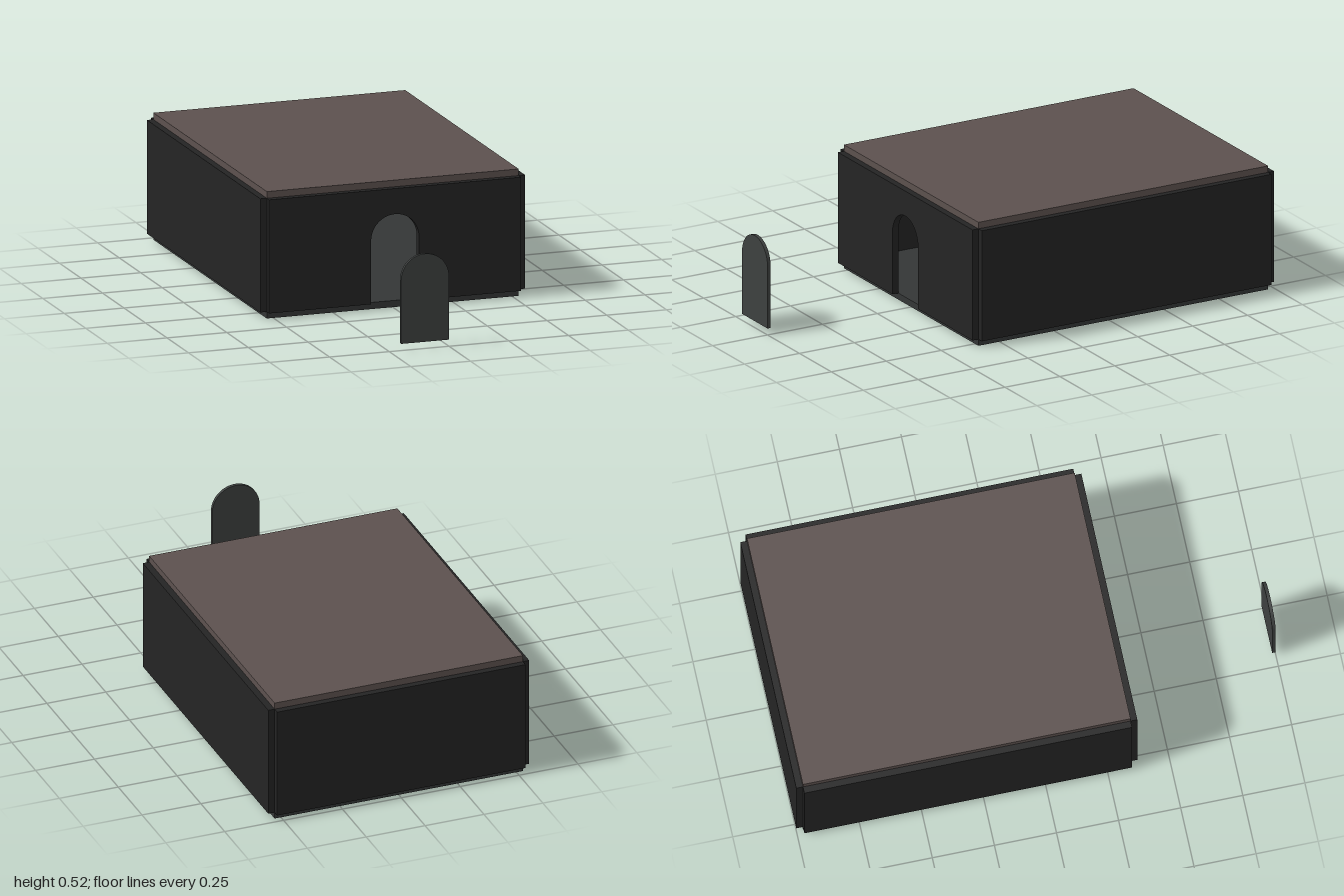
import * as THREE from 'three';

const T = 0.027;               // wall, floor and roof thickness
const HALF_W = 0.527;          // interior half width
const Z_BACK = -0.973, Z_FRONT = 0.346;
const Y0 = T, Y1 = 0.489;      // wall bottom and top
const DOOR_R = 0.1, DOOR_SPRING = 0.285;

const mat = (color) => new THREE.MeshStandardMaterial({ color });

// Adds a box given by its lower and upper corners
function addBox(group, name, min, max, material) {
  const size = max.map((v, i) => v - min[i]);
  const mesh = new THREE.Mesh(new THREE.BoxGeometry(...size), material);
  mesh.position.set(...max.map((v, i) => (v + min[i]) / 2));
  mesh.name = name;
  group.add(mesh);
}

// Round-topped doorway outline centred on cx
function traceArch(path, cx) {
  path.moveTo(cx - DOOR_R, Y0);
  path.lineTo(cx + DOOR_R, Y0);
  path.lineTo(cx + DOOR_R, DOOR_SPRING);
  path.absarc(cx, DOOR_SPRING, DOOR_R, 0, Math.PI, false);
  path.lineTo(cx - DOOR_R, Y0);
  return path;
}

function addExtrusion(group, name, shape, z, depth, material) {
  const geometry = new THREE.ExtrudeGeometry(shape, { depth, bevelEnabled: false, curveSegments: 24 });
  const mesh = new THREE.Mesh(geometry, material);
  mesh.position.z = z;
  mesh.name = name;
  group.add(mesh);
}

function rectangle(path, x0, y0, x1, y1) {
  path.moveTo(x0, y0);
  path.lineTo(x1, y0);
  path.lineTo(x1, y1);
  path.lineTo(x0, y1);
  path.closePath();
  return path;
}

export function createModel() {
  const group = new THREE.Group();
  const wall = mat(0x242424), roof = mat(0x5c514e), floor = mat(0x343636);
  const door = mat(0x3d403f), plaster = mat(0xb4b4b4), pane = mat(0xa0a49e);

  // Floor and roof slabs
  addBox(group, 'floor', [-HALF_W, 0, Z_BACK], [HALF_W, Y0, Z_FRONT], floor);
  addBox(group, 'roof', [-HALF_W, Y1, Z_BACK], [HALF_W, Y1 + T, Z_FRONT], roof);

  // Side and back walls, standing just outside the slabs
  for (const [name, s] of [['leftWall', 1], ['rightWall', -1]]) {
    const xs = [s * HALF_W, s * (HALF_W + T)].sort((a, b) => a - b);
    addBox(group, name, [xs[0], Y0, Z_BACK], [xs[1], Y1, Z_FRONT], wall);
  }
  addBox(group, 'backWall', [-HALF_W, Y0, Z_BACK - T], [HALF_W, Y1, Z_BACK], wall);

  // Front wall with the arched doorway cut up from its lower edge
  const front = new THREE.Shape();
  front.moveTo(-HALF_W, Y0);
  front.lineTo(-DOOR_R, Y0);
  front.lineTo(-DOOR_R, DOOR_SPRING);
  front.absarc(0, DOOR_SPRING, DOOR_R, Math.PI, 0, true);
  front.lineTo(DOOR_R, Y0);
  front.lineTo(HALF_W, Y0);
  front.lineTo(HALF_W, Y1);
  front.lineTo(-HALF_W, Y1);
  front.closePath();
  addExtrusion(group, 'frontWall', front, Z_FRONT, T, wall);

  // Pale lining on the inside of the back wall
  addBox(group, 'backLining', [-HALF_W, Y0, Z_BACK], [HALF_W, Y1, Z_BACK + 0.005], plaster);

  // Small framed panel on the lining
  const frame = rectangle(new THREE.Shape(), -0.058, 0.077, 0.058, 0.165);
  frame.holes.push(rectangle(new THREE.Path(), -0.046, 0.09, 0.046, 0.154));
  addExtrusion(group, 'panelFrame', frame, Z_BACK + 0.005, 0.015, door);
  addBox(group, 'panel', [-0.046, 0.09, Z_BACK + 0.005], [0.046, 0.154, Z_BACK + 0.01], pane);

  // Detached door leaf standing in front
  addExtrusion(group, 'door', traceArch(new THREE.Shape(), -0.1), 0.986, 0.014, door);

  return group;
}
